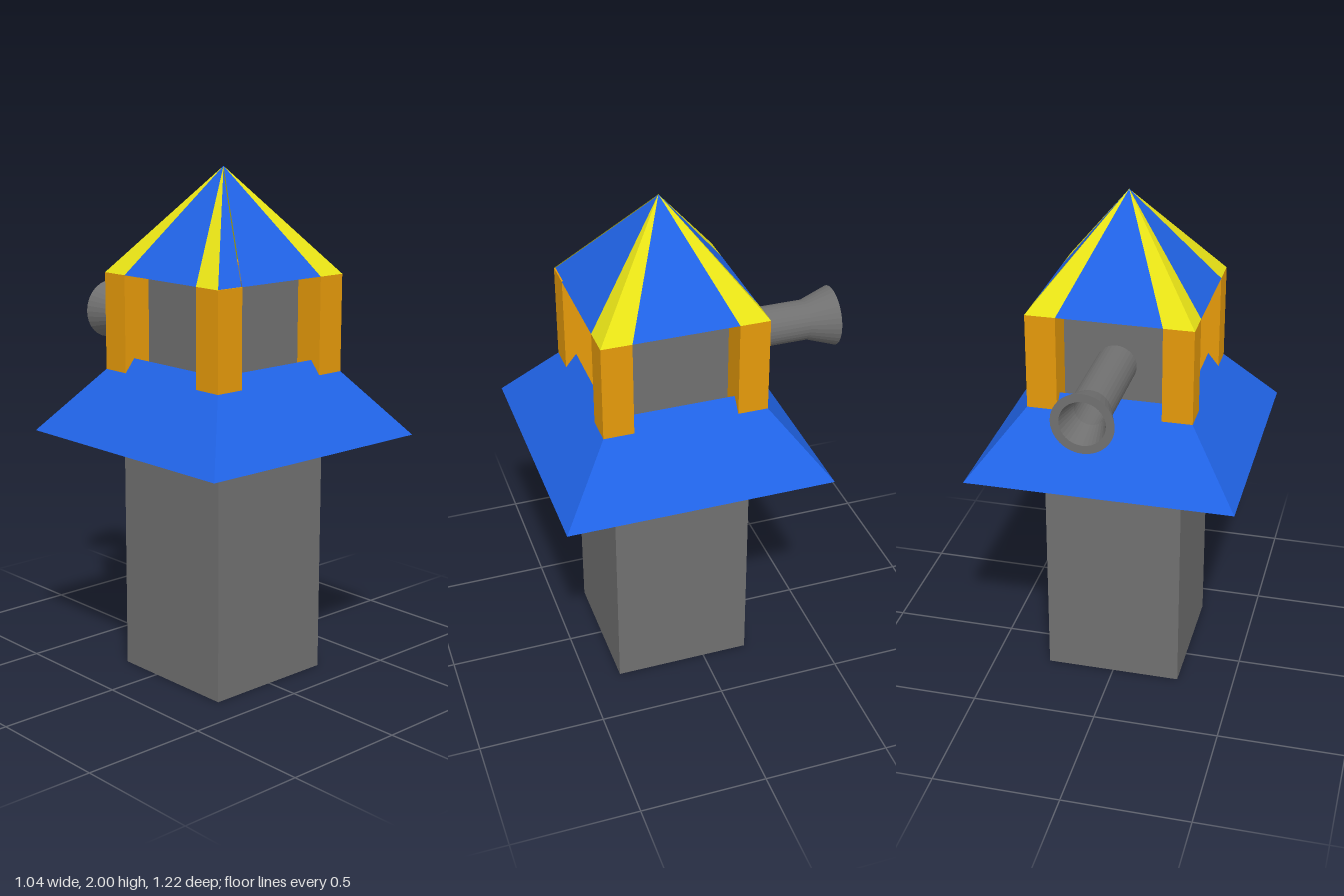
import * as THREE from 'three';

const paint = (color) => new THREE.MeshStandardMaterial({ color, flatShading: true, side: THREE.DoubleSide });

export function createModel() {
  const grey = paint(0x707070), blue = paint(0x2063e6), yellow = paint(0xe8e316), orange = paint(0xe69a0a);
  const model = new THREE.Group();
  model.name = 'watchtower';

  const add = (parent, name, geometry, material, x = 0, y = 0, z = 0) => {
    const mesh = new THREE.Mesh(geometry, material);
    mesh.name = name;
    mesh.position.set(x, y, z);
    parent.add(mesh);
    return mesh;
  };

  // The square tower sits slightly forward to balance the rear pipe
  const tower = new THREE.Group();
  tower.name = 'tower';
  tower.position.z = 0.09;
  model.add(tower);

  const edge = 0.321, inner = 0.203, eaves = 1.595, postFoot = 1.02;

  // Square shaft, and the narrower cabin recessed between the posts
  add(tower, 'shaft', new THREE.BoxGeometry(0.546, 1.04, 0.546), grey, 0, 0.52, 0);
  add(tower, 'cabin', new THREE.BoxGeometry(2 * inner, eaves - 1.04, 2 * inner), grey, 0, (eaves + 1.04) / 2, 0);

  // Sloping skirt roof, open at the top around the cabin
  const skirt = new THREE.CylinderGeometry(0.278 * Math.SQRT2, 0.522 * Math.SQRT2, 0.303, 4, 1, true);
  skirt.rotateY(Math.PI / 4);
  add(tower, 'skirtRoof', skirt, blue, 0, 0.967 + 0.303 / 2, 0);

  // Grey underside with a square opening below each post
  const square = (shape, cx, cy, h) => shape.moveTo(cx - h, cy - h)
    .lineTo(cx + h, cy - h).lineTo(cx + h, cy + h).lineTo(cx - h, cy + h).closePath();
  const underside = square(new THREE.Shape(), 0, 0, 0.522);

  // Four corner posts; the inner rear face of the front left one is grey
  const width = edge - inner, mid = (edge + inner) / 2;
  const post = new THREE.BoxGeometry(width, eaves - postFoot, width);
  for (const x of [-1, 1]) for (const z of [-1, 1]) {
    const faces = Array(6).fill(orange);
    if (x > 0 && z > 0) faces[5] = grey;
    add(tower, 'cornerPost', post, faces, x * mid, (eaves + postFoot) / 2, z * mid);
    underside.holes.push(square(new THREE.Path(), x * mid, z * mid, width / 2));
  }
  add(tower, 'skirtUnderside', new THREE.ShapeGeometry(underside).rotateX(Math.PI / 2), grey, 0, 0.967, 0);

  // Hollow pyramid roof: each side is a wide panel between two corner stripes
  const panel = (x0, x1) => {
    const g = new THREE.BufferGeometry();
    g.setAttribute('position', new THREE.Float32BufferAttribute([x0, 0, edge, x1, 0, edge, 0, 2 - eaves, 0], 3));
    g.computeVertexNormals();
    return g;
  };
  for (let k = 0; k < 4; k++) {
    const side = new THREE.Group();
    side.name = 'roofSide';
    side.position.y = eaves;
    side.rotation.y = k * Math.PI / 2;
    // The blue corner stripe is sunk a little behind its neighbours
    const front = k === 0;
    add(side, 'roofStripe', panel(-edge, -inner), front ? blue : yellow, 0, 0, front ? -0.006 : 0);
    add(side, 'roofPanel', panel(-inner, inner), blue);
    add(side, 'roofStripe', panel(inner, edge), yellow);
    tower.add(side);
  }

  // Hollow rear pipe with a flared mouth, turned about the z axis
  const profile = [[0.079, 0.1], [0.079, 0.5], [0.118, 0.613], [0.086, 0.613], [0.06, 0.5], [0.06, 0.3], [0, 0.3]]
    .map(([r, d]) => new THREE.Vector2(r, d));
  const pipe = new THREE.LatheGeometry(profile, 32).rotateX(-Math.PI / 2);
  add(model, 'rearPipe', pipe, grey, 0, 1.375, 0);

  return model;
}
